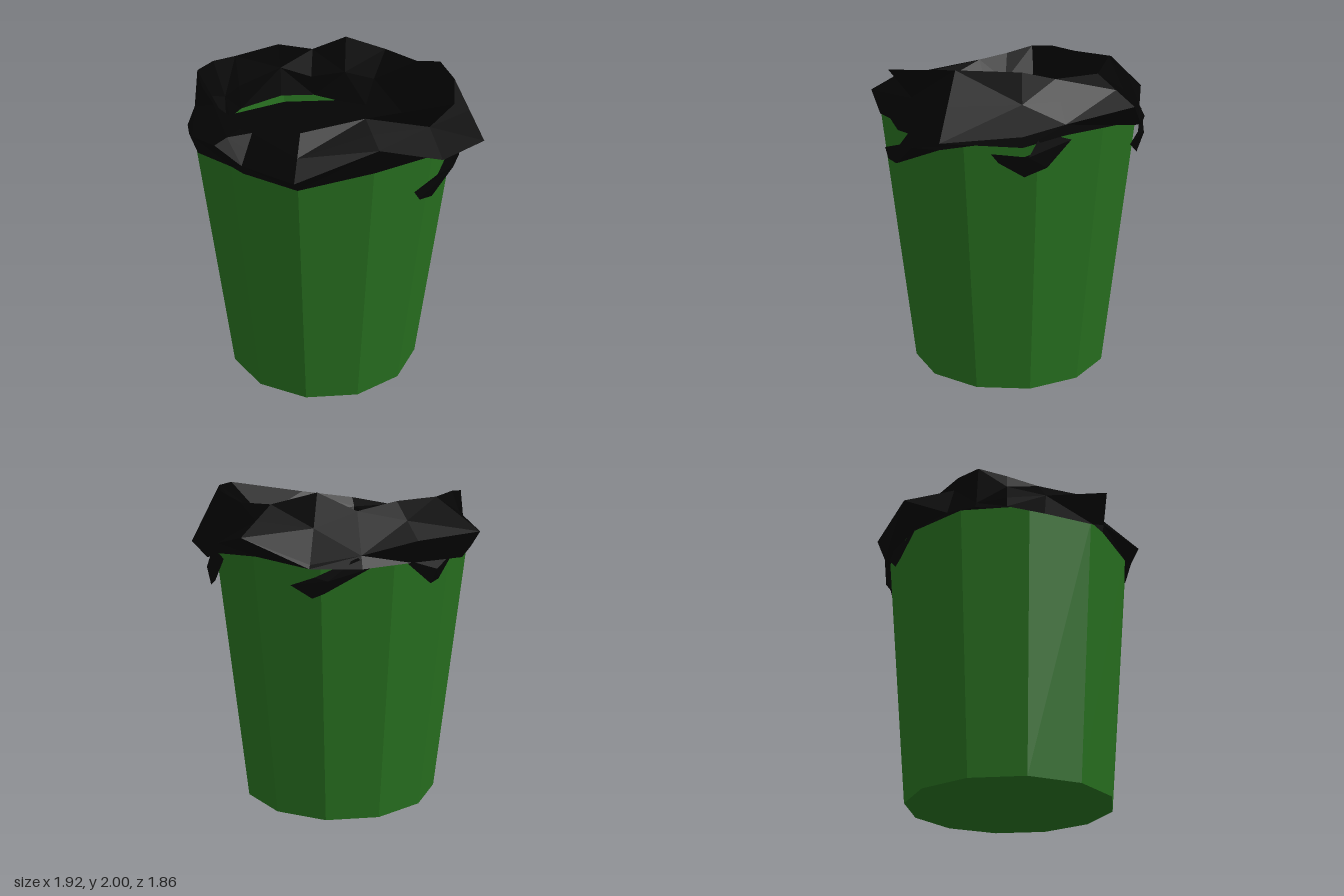
import * as THREE from 'three';

const rad = THREE.MathUtils.degToRad;

// Flat-shaded mesh from a list of triangles made of Vector3 corners
function facetMesh(name, corners, material) {
  const geometry = new THREE.BufferGeometry().setFromPoints(corners);
  geometry.computeVertexNormals();
  const mesh = new THREE.Mesh(geometry, material);
  mesh.name = name;
  return mesh;
}

const polar = (angle, r, y) => new THREE.Vector3(Math.cos(angle) * r, y, Math.sin(angle) * r);

// Each fold of the bag: outer x, z, y, then crest radius, crest height, hem height,
// radius of the inner lip, and pinch below the crest
const FOLDS = [
  [0.96, -0.06, 1.77, 0.69, 1.93, 1.65, 0.47],
  [0.78, 0.30, 1.69, 0.68, 1.92, 1.63, 0.57],
  [0.66, 0.51, 1.63, 0.74, 1.97, 1.57, 0.56],
  [0.42, 0.90, 1.61, 0.79, 1.98, 1.58, 0.48],
  [0.00, 0.88, 1.62, 0.93, 1.97, 1.64, 0.47, 0.86],
  [-0.45, 0.76, 1.79, 0.68, 1.90, 1.64, 0.55],
  [-0.80, 0.46, 1.63, 0.74, 1.85, 1.55, 0.62],
  [-0.84, 0.11, 1.65, 0.74, 1.81, 1.60, 0.58],
  [-0.96, 0.03, 1.79, 0.76, 1.82, 1.62, 0.57],
  [-0.80, -0.33, 1.70, 0.72, 1.87, 1.59, 0.58],
  [-0.66, -0.52, 1.68, 0.74, 1.91, 1.62, 0.60],
  [-0.50, -0.63, 1.68, 0.77, 1.96, 1.63, 0.61],
  [-0.35, -0.72, 1.72, 0.71, 1.97, 1.63, 0.62],
  [-0.15, -0.93, 1.76, 0.66, 1.95, 1.60, 0.63],
  [0.35, -0.82, 1.75, 0.67, 1.95, 1.62, 0.64],
  [0.55, -0.58, 1.67, 0.66, 1.90, 1.60, 0.59],
  [0.73, -0.36, 1.62, 0.62, 2.00, 1.60, 0.47],
];

// Loose hanging scraps of the hem: radius, then outline as [degrees round the bin, height]
const FLAPS = [
  [0.86, [[82, 1.66], [91, 1.53], [104, 1.48], [101, 1.42], [94, 1.41], [70, 1.54], [53, 1.59], [60, 1.66]]],
  [0.82, [[30, 1.65], [34, 1.53], [40, 1.5], [50, 1.53], [47, 1.48], [37, 1.4], [28, 1.45], [18, 1.6]]],
  [0.81, [[-18, 1.5], [-27, 1.43], [-32, 1.46], [-50, 1.6], [-45, 1.66], [-28, 1.55]]],
  [0.8, [[-64, 1.64], [-79, 1.48], [-84, 1.5], [-96, 1.64]]],
];

function buildBag(material) {
  // Cross-section per fold, from the hem over the crest and down to the inner lip
  const columns = FOLDS.map(([x, z, y, crestR, crestY, hemY, lipR, pinch = 1], i) => {
    const angle = Math.atan2(z, x);
    const wobble = 0.03 * Math.sin(i * 2.4);
    return [
      polar(angle, 0.835, hemY),
      new THREE.Vector3(x, y, z),
      polar(angle, pinch * (Math.hypot(x, z) + crestR) / 2, (y + crestY) / 2),
      polar(angle, crestR, crestY),
      polar(angle + wobble, lipR * 0.6 + crestR * 0.4 + wobble, 1.76 + wobble),
      polar(angle, lipR, 1.6),
    ];
  });
  const tris = [];
  columns.forEach((col, i) => {
    const next = columns[(i + 1) % columns.length];
    for (let r = 0; r < col.length - 1; r++) {
      const [a, b, c, d] = [col[r], next[r], next[r + 1], col[r + 1]];
      if ((i + r) % 2) tris.push(a, d, b, b, d, c);
      else tris.push(a, d, c, a, c, b);
    }
  });
  return facetMesh('binBag', tris, material);
}

function buildFlap([radius, outline], index, material) {
  // Fan round a raised middle point, so the scrap stands off the bin
  const pts = outline.map(([deg, y]) => polar(rad(deg), radius, y));
  const mid = pts.reduce((s, p) => s.add(p), new THREE.Vector3()).divideScalar(pts.length);
  const lift = (radius + 0.025) / Math.hypot(mid.x, mid.z);
  mid.x *= lift;
  mid.z *= lift;
  const tris = pts.flatMap((p, i) => [mid, p, pts[(i + 1) % pts.length]]);
  return facetMesh('bagFlap' + (index + 1), tris, material);
}

// Horizontal twelve-sided disc in line with the bin's corners
function buildDisc(name, radius, y, turn, material) {
  const disc = new THREE.Mesh(new THREE.CircleGeometry(radius, 12), material);
  disc.name = name;
  disc.rotation.x = turn;
  disc.position.set(-0.02, y, 0.01);
  return disc;
}

export function createModel() {
  const group = new THREE.Group();
  group.name = 'wasteBin';
  const green = new THREE.MeshStandardMaterial({ color: 0x276f1f, flatShading: true, side: THREE.DoubleSide });
  const black = new THREE.MeshStandardMaterial({ color: 0x040404, flatShading: true, side: THREE.DoubleSide });

  // Tapered twelve-sided bin, open at the top
  const wall = new THREE.Mesh(new THREE.CylinderGeometry(0.81, 0.64, 1.64, 12, 1, true), green);
  wall.name = 'binWall';
  wall.position.set(-0.02, 0.82, 0.01);
  group.add(wall, buildDisc('binBase', 0.64, 0, Math.PI / 2, green));

  // Crumpled bag folded over the rim, with its flat floor inside the bin
  const bag = new THREE.Group();
  bag.name = 'bag';
  bag.add(buildBag(black), buildDisc('bagFloor', 0.79, 1.5, -Math.PI / 2, black));
  bag.add(...FLAPS.map((f, i) => buildFlap(f, i, black)));
  group.add(bag);
  return group;
}
